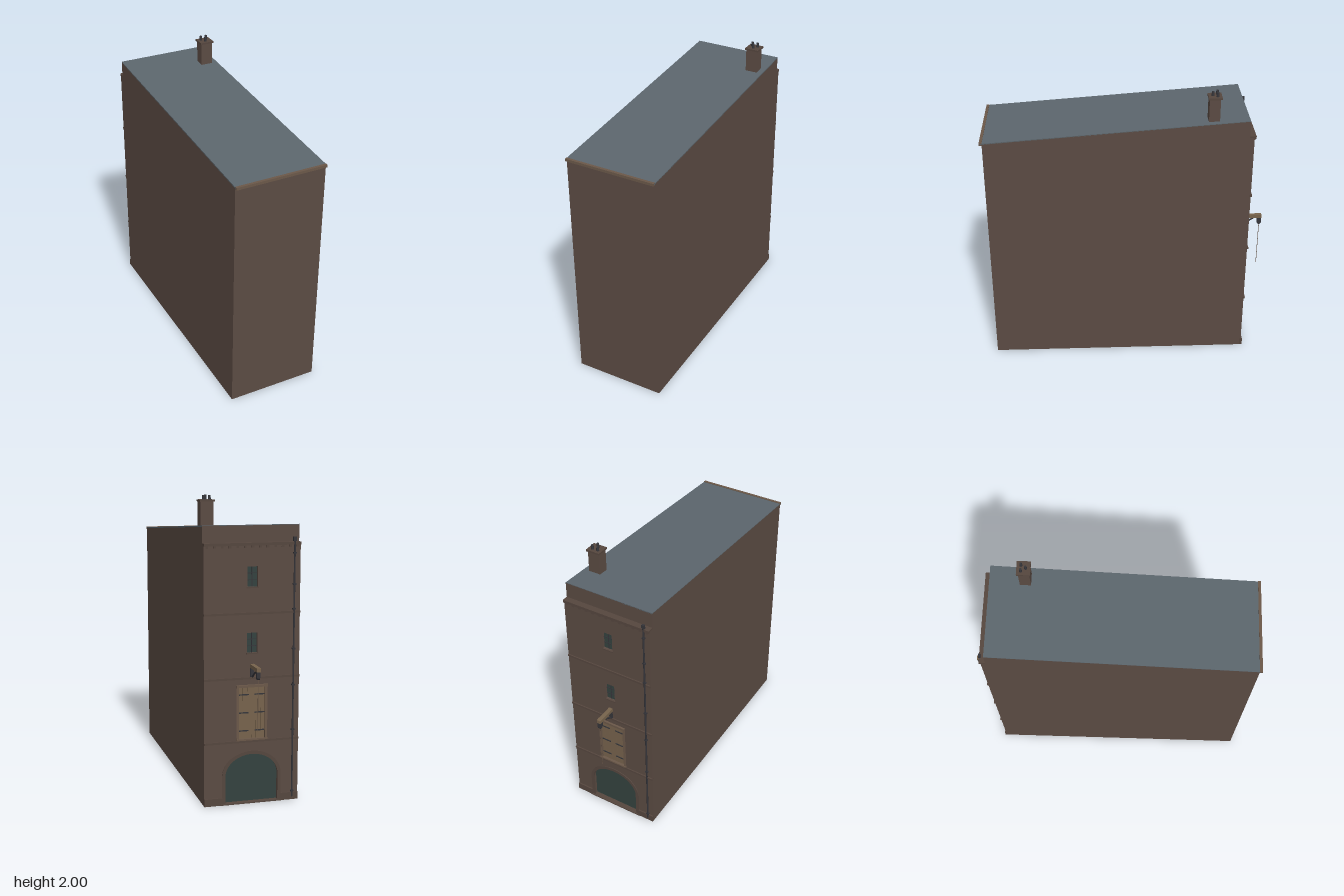
import * as THREE from 'three';

const paint = (color, side = THREE.FrontSide) => new THREE.MeshStandardMaterial({ color, side });
const BRICK = paint(0x5b4b43), SLATE = paint(0x5c666d), STONE = paint(0x55463e), GLASS = paint(0x34423f);
const WOOD = paint(0x77634c), IRON = paint(0x35353a), TRIM = paint(0x6b5849);

const W = 0.64, ZF = 0.965, ZB = -0.805, FACE = -0.836;
const roofY = z => 1.69 + (ZF - z) / (ZF - ZB) * 0.13;

export function createModel() {
  const root = new THREE.Group();
  const add = (name, geo, mat, x = 0, y = 0, z = 0, parent = root) => {
    const m = new THREE.Mesh(geo, mat);
    m.name = name;
    m.position.set(x, y, z);
    parent.add(m);
    return m;
  };
  // box given by its extents
  const box = (name, mat, x0, x1, y0, y1, z0, z1, parent) => add(name,
    new THREE.BoxGeometry(x1 - x0, y1 - y0, z1 - z0), mat, (x0 + x1) / 2, (y0 + y1) / 2, (z0 + z1) / 2, parent);
  const rod = (name, mat, a, b, r, parent) => {
    const p = new THREE.Vector3(...a), d = new THREE.Vector3(...b).sub(p);
    const m = add(name, new THREE.CylinderGeometry(r, r, d.length(), 8), mat, 0, 0, 0, parent);
    m.position.copy(p).addScaledVector(d, 0.5);
    m.quaternion.setFromUnitVectors(new THREE.Vector3(0, 1, 0), d.normalize());
    return m;
  };

  // main walls: a shell, open underneath, with the top following the roof slope
  const shell = new THREE.BoxGeometry(W, 1, ZF - ZB);
  shell.translate(0, 0.5, (ZF + ZB) / 2);
  const sp = shell.attributes.position;
  for (let i = 0; i < sp.count; i++) if (sp.getY(i) > 0.5) sp.setY(i, roofY(sp.getZ(i)) - 0.004);
  const idx = Array.from(shell.index.array);
  shell.setIndex([...idx.slice(0, 12), ...idx.slice(24)]);
  add('walls', shell, paint(0x5b4b43, THREE.DoubleSide));

  // sloping slate roof
  const roof = new THREE.BoxGeometry(W, 0.008, ZF - ZB + 0.012);
  const rp = roof.attributes.position;
  for (let i = 0; i < rp.count; i++) {
    const z = rp.getZ(i) + (ZF + ZB + 0.012) / 2;
    rp.setXYZ(i, rp.getX(i), rp.getY(i) + roofY(z) - 0.004, z);
  }
  roof.computeVertexNormals();
  add('roof', roof, SLATE);
  box('eavesGutter', TRIM, -W / 2, W / 2, 1.676, 1.694, ZF, 0.984);

  // street facade with arch, loading door and window openings
  const rect = (x0, x1, y0, y1) => new THREE.Path([[x0, y0], [x0, y1], [x1, y1], [x1, y0]].map(p => new THREE.Vector2(...p)));
  const archTo = (s, hw, spring, rise) => {
    s.lineTo(-hw, 0).lineTo(-hw, spring);
    s.absellipse(0, spring, hw, rise, Math.PI, 0, true);
    return s.lineTo(hw, 0);
  };
  const wall = archTo(new THREE.Shape().moveTo(-W / 2, 0), 0.18, 0.19, 0.145);
  wall.lineTo(W / 2, 0).lineTo(W / 2, 1.7).lineTo(-W / 2, 1.7).lineTo(-W / 2, 0);
  wall.holes.push(rect(-0.09, 0.09, 0.435, 0.785));
  const windows = [1.07, 1.495];
  for (const y of windows) wall.holes.push(rect(-0.035, 0.035, y - 0.065, y + 0.065));
  const extrude = (s, depth) => new THREE.ExtrudeGeometry(s, { depth, bevelEnabled: false, curveSegments: 24 });
  add('facade', extrude(wall, ZB - FACE), BRICK, 0, 0, FACE);

  // arched shopfront: surround and recessed glazing
  const ring = archTo(new THREE.Shape().moveTo(-0.2, 0), 0.178, 0.19, 0.143);
  ring.lineTo(0.2, 0).lineTo(0.2, 0.19);
  ring.absellipse(0, 0.19, 0.2, 0.165, 0, Math.PI, false);
  ring.lineTo(-0.2, 0);
  add('archSurround', extrude(ring, 0.01), STONE, 0, 0, FACE - 0.006);
  const pane = archTo(new THREE.Shape().moveTo(-0.18, 0), 0.18, 0.19, 0.145);
  add('archGlass', extrude(pane, 0.005), GLASS, 0, 0, ZB - 0.008);
  box('doorStep', STONE, -0.21, 0.21, 0, 0.008, -0.85, ZB);

  // plinths, string courses and cornice
  for (const s of [-1, 1])
    box('plinth', STONE, Math.min(s * 0.2, s * 0.32), Math.max(s * 0.2, s * 0.32), 0, 0.05, FACE - 0.01, FACE + 0.01);
  for (const y of [0.42, 0.84, 1.26]) box('stringCourse', STONE, -W / 2, W / 2, y - 0.007, y + 0.007, FACE - 0.009, FACE + 0.01);
  box('cornice', STONE, -W / 2, W / 2, 1.692, 1.71, FACE - 0.012, ZB);
  for (let i = 0; i < 13; i++) {
    const x = -0.3 + i * 0.05;
    box('dentil', STONE, x - 0.008, x + 0.008, 1.678, 1.692, FACE - 0.007, FACE + 0.005);
  }

  // small windows with glazing bars and sills
  for (const y of windows) {
    const g = new THREE.Group();
    g.name = 'window';
    root.add(g);
    box('pane', GLASS, -0.035, 0.035, y - 0.065, y + 0.065, -0.82, ZB, g);
    box('glazingBar', IRON, -0.002, 0.002, y - 0.065, y + 0.065, -0.824, -0.82, g);
    for (const d of [-0.022, 0.022]) box('crossBar', IRON, -0.035, 0.035, y + d - 0.002, y + d + 0.002, -0.824, -0.82, g);
    box('sill', STONE, -0.04, 0.04, y - 0.073, y - 0.065, FACE - 0.005, FACE + 0.01, g);
  }

  // loading door: planks, frame and strap hinges
  const door = new THREE.Group();
  door.name = 'loadingDoor';
  root.add(door);
  for (let i = 0; i < 6; i++) {
    const x = -0.09 + i * 0.03;
    box('plank', WOOD, x + 0.0006, x + 0.0294, 0.435, 0.785, -0.83, ZB, door);
  }
  for (const s of [-1, 1]) box('doorJamb', TRIM, s * 0.096 - 0.008, s * 0.096 + 0.008, 0.43, 0.785, FACE - 0.006, FACE + 0.01, door);
  box('doorLintel', TRIM, -0.105, 0.105, 0.78, 0.796, FACE - 0.014, FACE + 0.01, door);
  box('doorSill', TRIM, -0.105, 0.105, 0.427, 0.438, FACE - 0.012, FACE + 0.01, door);
  for (const y of [0.49, 0.61, 0.73]) for (const s of [-1, 1])
    box('strapHinge', IRON, s * 0.053 - 0.033, s * 0.053 + 0.033, y - 0.004, y + 0.004, -0.834, -0.83, door);

  // hoist beam with brace, pulley and rope
  const hoist = new THREE.Group();
  hoist.name = 'hoist';
  root.add(hoist);
  box('hoistBeam', WOOD, -0.014, 0.014, 0.907, 0.932, -0.982, FACE, hoist);
  rod('hoistBrace', IRON, [0, 0.845, FACE], [0, 0.91, -0.935], 0.006, hoist);
  box('hoistBracket', IRON, -0.012, 0.012, 0.835, 0.907, FACE - 0.008, FACE, hoist);
  box('pulleyBlock', IRON, -0.011, 0.011, 0.87, 0.907, -0.982, -0.952, hoist);
  add('pulley', new THREE.CylinderGeometry(0.015, 0.015, 0.018, 16), IRON, 0, 0.87, -0.967, hoist).rotation.z = Math.PI / 2;
  rod('rope', TRIM, [0, 0.52, -0.968], [0, 0.87, -0.968], 0.002, hoist);

  // drainpipe with brackets and hopper
  const px = -0.278, pz = FACE - 0.008;
  rod('drainpipe', IRON, [px, 0.02, pz], [px, 1.74, pz], 0.006);
  box('hopper', IRON, px - 0.01, px + 0.01, 1.715, 1.742, pz - 0.006, pz + 0.008);
  for (const y of [0.06, 0.48, 0.78, 1.02, 1.28, 1.44, 1.64])
    box('pipeBracket', IRON, px - 0.01, px + 0.01, y - 0.005, y + 0.005, pz - 0.007, FACE);

  // chimney with cap and three pots
  const chimney = new THREE.Group();
  chimney.name = 'chimney';
  root.add(chimney);
  box('stack', BRICK, 0.195, 0.28, 1.795, 1.962, -0.605, -0.532, chimney);
  box('cap', STONE, 0.188, 0.287, 1.958, 1.97, -0.616, -0.525, chimney);
  for (const [x, z] of [[0.216, -0.587], [0.256, -0.587], [0.236, -0.556]])
    add('pot', new THREE.CylinderGeometry(0.008, 0.01, 0.032, 12), IRON, x, 1.984, z, chimney);

  return root;
}
